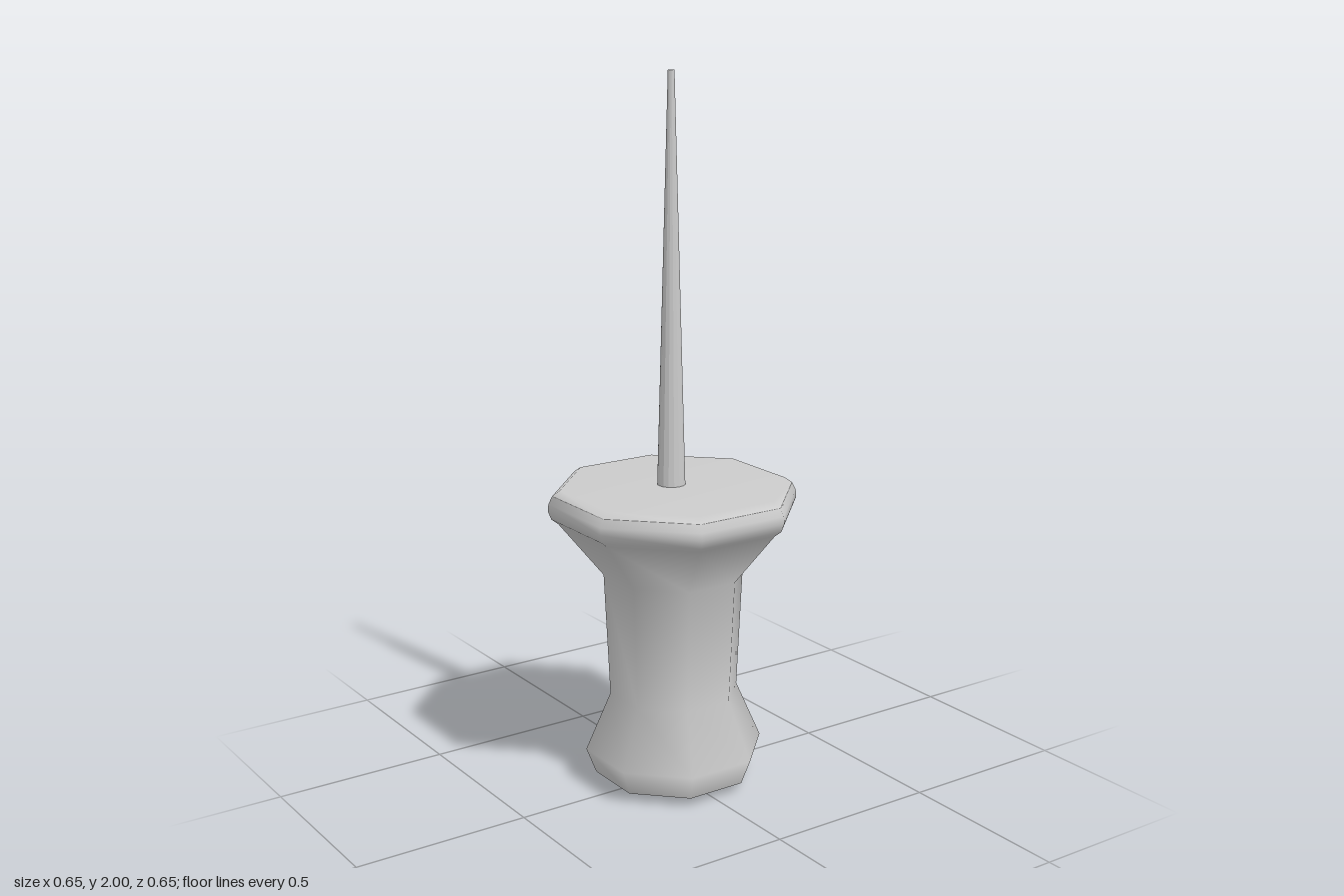
import * as THREE from 'three';

const SIDES = 8;
const CORNER = 1 / Math.cos(Math.PI / SIDES); // flat half-width -> corner radius

// Octagonal turned section with flats facing the axes; profile is [half-width, y] from bottom to top
function turned(name, profile, material) {
  const points = profile.map(([w, y]) => new THREE.Vector2(w * CORNER, y));
  const mesh = new THREE.Mesh(new THREE.LatheGeometry(points, SIDES, Math.PI / SIDES), material);
  mesh.name = name;
  return mesh;
}

export function createModel() {
  const group = new THREE.Group();
  group.name = 'pushPin';
  const smooth = new THREE.MeshStandardMaterial({ color: 0xcccccc });
  const faceted = new THREE.MeshStandardMaterial({ color: 0xcccccc, flatShading: true });

  // Handle: bulging foot, narrow waist, flared collar with a rounded rim
  group.add(turned('handle', [
    [0.21, 0.027], [0.236, 0.1], [0.17, 0.265], [0.185, 0.62],
    [0.3, 0.775], [0.318, 0.79], [0.327, 0.815], [0.325, 0.835], [0.315, 0.857],
  ], smooth));

  // Shallow chamfered underside and nearly flat collar top
  group.add(turned('handleBase', [[0, 0], [0.15, 0], [0.21, 0.027]], smooth));
  group.add(turned('collarTop', [[0.315, 0.857], [0.295, 0.872], [0, 0.872]], smooth));

  // Tapered needle, slightly off centre
  const bottom = 0.86, top = 2;
  const needle = new THREE.Mesh(new THREE.CylinderGeometry(0.009, 0.04, top - bottom, 16), faceted);
  needle.name = 'needle';
  needle.position.set(-0.005, (top + bottom) / 2, -0.005);
  group.add(needle);

  return group;
}
